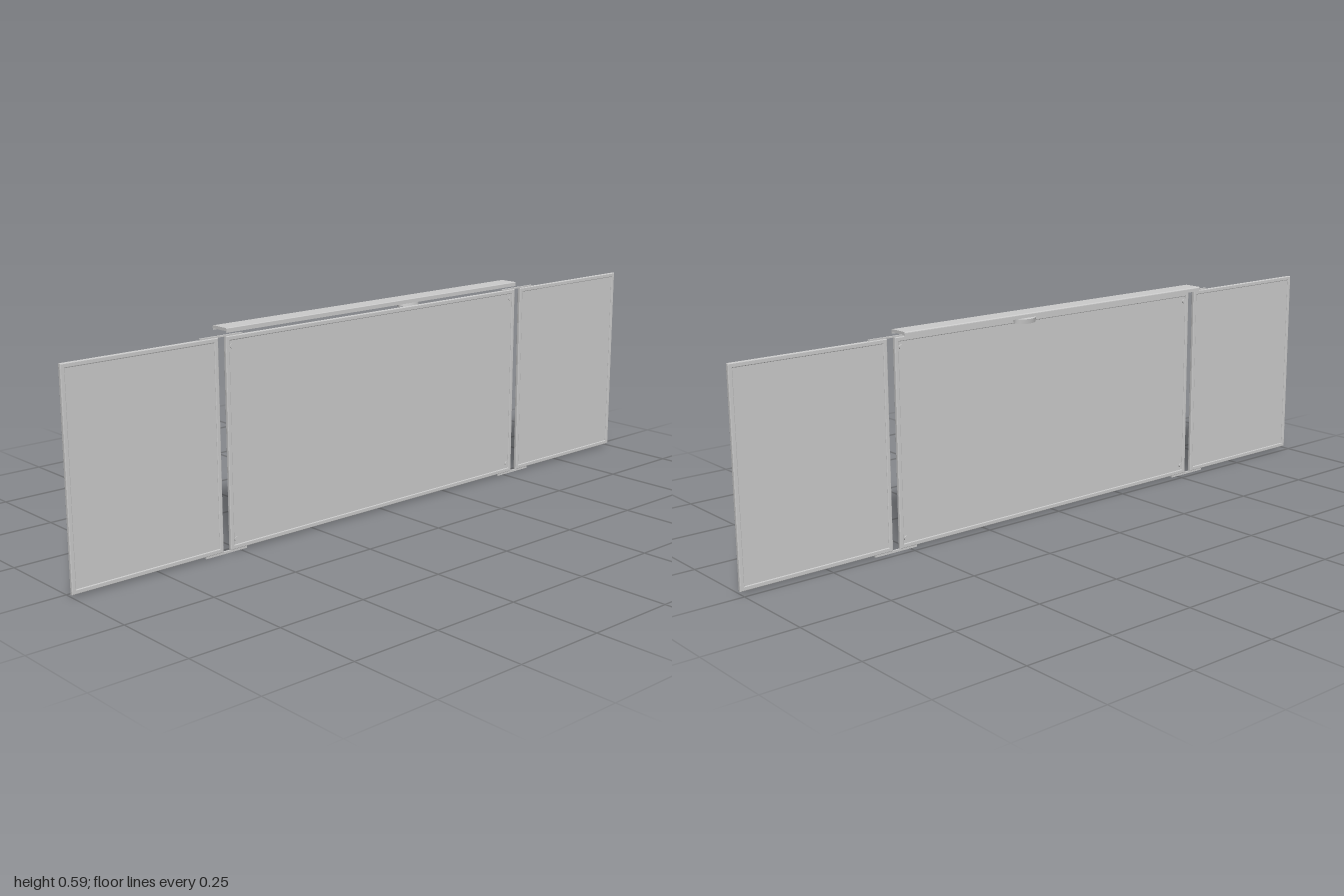
import * as THREE from 'three';

const Z = 0.0235; // mid-plane of the boards
const Y0 = 0.007, Y1 = 0.568; // bottom and top of the boards

export function createModel() {
  const root = new THREE.Group();
  const mat = new THREE.MeshStandardMaterial({ color: 0xcccccc });

  const add = (parent, name, geo, x = 0, y = 0, z = 0) => {
    const mesh = new THREE.Mesh(geo, mat);
    mesh.name = name;
    mesh.position.set(x, y, z);
    parent.add(mesh);
    return mesh;
  };
  const box = (parent, name, w, h, d, x, y, z) =>
    add(parent, name, new THREE.BoxGeometry(w, h, d), x, y, z);

  const rect = (path, w, h) => path.moveTo(-w / 2, -h / 2).lineTo(w / 2, -h / 2)
    .lineTo(w / 2, h / 2).lineTo(-w / 2, h / 2).closePath();

  // A board: bevelled frame around a slightly recessed sheet
  const board = (name, x0, x1) => {
    const g = new THREE.Group();
    g.name = name;
    g.position.set((x0 + x1) / 2, (Y0 + Y1) / 2, Z);
    const w = x1 - x0, h = Y1 - Y0, bevel = 0.002, rail = 0.01;
    const shape = rect(new THREE.Shape(), w - 2 * bevel, h - 2 * bevel);
    shape.holes.push(rect(new THREE.Path(), w - 2 * rail, h - 2 * rail));
    const frame = new THREE.ExtrudeGeometry(shape, {
      depth: 0.006, bevelEnabled: true, bevelThickness: 0.002, bevelSize: bevel, bevelSegments: 2,
    });
    frame.translate(0, 0, -0.003);
    add(g, 'frame', frame);
    box(g, 'sheet', w - 0.016, h - 0.016, 0.005, 0, 0, 0);
    root.add(g);
    return g;
  };

  const centre = board('centreBoard', -0.532, 0.532);
  board('leftWing', 0.555, 1);
  board('rightWing', -1, -0.555);

  // Corner studs through the centre board
  for (const sx of [-1, 1]) for (const sy of [-1, 1]) {
    const stud = new THREE.CylinderGeometry(0.006, 0.006, 0.011, 16).rotateX(Math.PI / 2);
    add(centre, 'cornerStud', stud, sx * 0.513, sy * 0.254, -0.001);
  }

  // Hinge plates and pins joining the wings, top and bottom
  for (const sx of [-1, 1]) for (const top of [false, true]) {
    const hinge = new THREE.Group();
    hinge.name = 'hinge';
    hinge.position.set(sx * 0.5435, top ? Y1 + 0.002 : Y0 - 0.003, Z);
    box(hinge, 'hingePlate', 0.13, top ? 0.004 : 0.006, 0.005, 0, 0, 0);
    for (const s of [-1, 1]) {
      add(hinge, 'hingePin', new THREE.CylinderGeometry(0.0025, 0.0025, 0.008, 12),
        s * 0.0145, top ? -0.003 : 0.003, 0);
    }
    root.add(hinge);
  }

  // Canopy: rounded top slab with short lips, profile drawn in (z, y)
  const p = new THREE.Shape();
  p.moveTo(0.0285, 0.577).lineTo(0.0285, 0.587)
    .quadraticCurveTo(0.0285, 0.589, 0.026, 0.589)
    .lineTo(-0.024, 0.589)
    .quadraticCurveTo(-0.028, 0.589, -0.028, 0.585)
    .lineTo(-0.028, 0.577).lineTo(-0.0265, 0.577).lineTo(-0.0265, 0.581)
    .lineTo(0.027, 0.581).lineTo(0.027, 0.577).closePath();
  const canopy = new THREE.ExtrudeGeometry(p, { depth: 1.064, bevelEnabled: false, curveSegments: 6 });
  canopy.rotateY(-Math.PI / 2); // shape x becomes z, depth runs towards -x
  add(root, 'canopy', canopy, 0.534);

  // Tilted oval unit hanging under the canopy, with its neck
  const unit = add(root, 'hangingUnit',
    new THREE.CylinderGeometry(1, 1, 0.013, 40).scale(0.035, 1, 0.0205), 0.128, 0.5695, -0.0075);
  unit.rotation.x = -0.14;
  add(root, 'unitNeck', new THREE.CylinderGeometry(0.007, 0.007, 0.01, 16), 0.128, 0.578, -0.001);

  // Small clips under the canopy
  for (const x of [-0.165, -0.08]) box(root, 'canopyClip', 0.038, 0.006, 0.014, x, 0.579, -0.001);

  return root;
}
